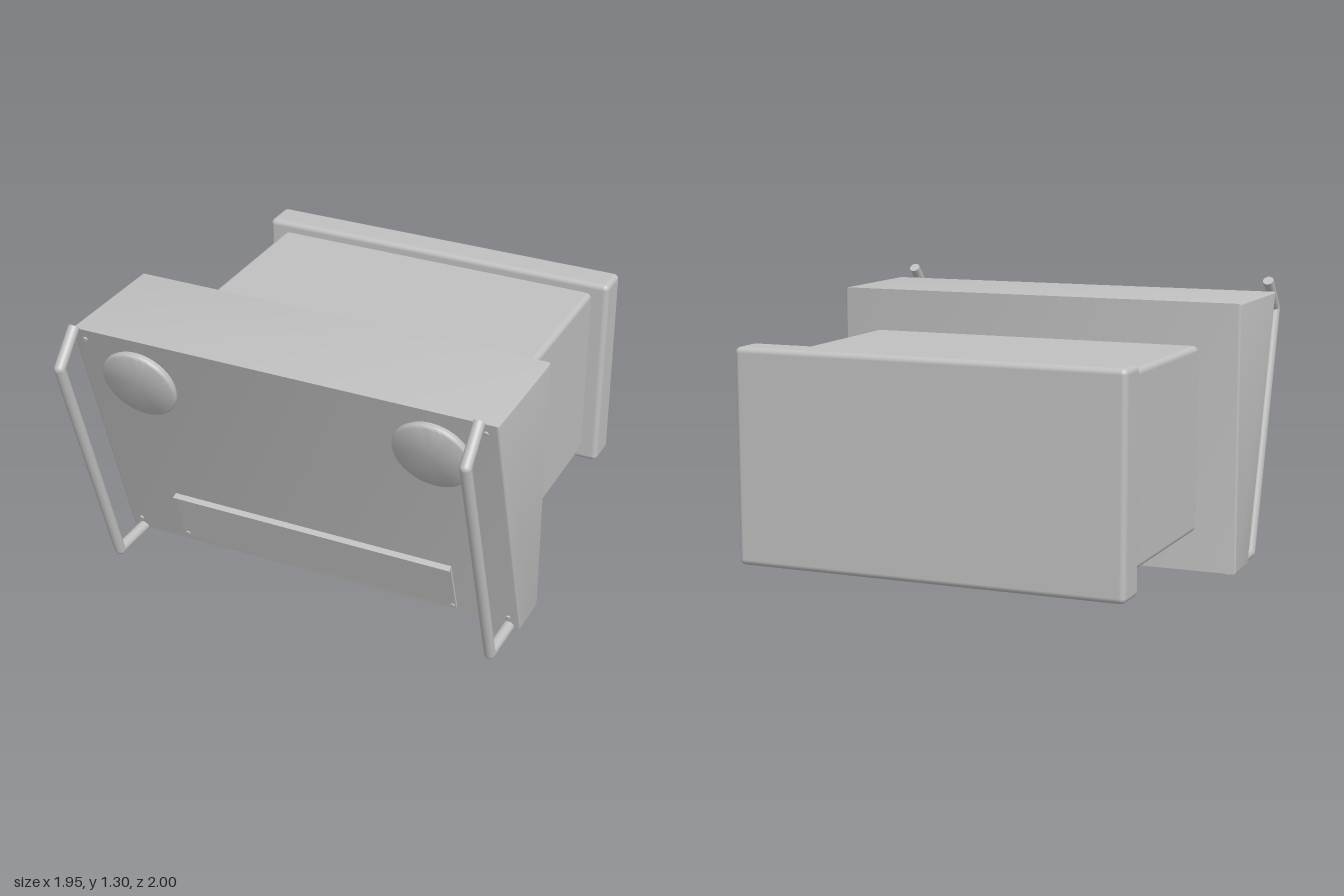
import * as THREE from 'three';
import { toCreasedNormals } from 'three/addons/utils/BufferGeometryUtils.js';
import { RoundedBoxGeometry } from 'three/addons/geometries/RoundedBoxGeometry.js';

export function createModel() {
  const model = new THREE.Group();
  const grey = new THREE.MeshStandardMaterial({ color: 0xc0c0c0 });
  grey.name = 'light grey';

  function add(name, geometry, x = 0, y = 0, z = 0, parent = model) {
    const mesh = new THREE.Mesh(geometry, grey);
    mesh.name = name;
    mesh.position.set(x, y, z);
    parent.add(mesh);
    return mesh;
  }

  // Rounded box given by its limits on each axis
  function block(name, [x0, x1], [y0, y1], [z0, z1], radius) {
    const geometry = new RoundedBoxGeometry(x1 - x0, y1 - y0, z1 - z0, 4, radius);
    return add(name, geometry, (x0 + x1) / 2, (y0 + y1) / 2, (z0 + z1) / 2);
  }

  // Extrusion with softened edges that stays inside the drawn outline
  function softExtrude(shape, length, bevel) {
    const geometry = new THREE.ExtrudeGeometry(shape, {
      depth: length - 2 * bevel, bevelEnabled: true, bevelThickness: bevel,
      bevelSize: bevel, bevelOffset: -bevel, bevelSegments: 3, curveSegments: 8,
    });
    geometry.translate(0, 0, bevel);
    return toCreasedNormals(geometry, 0.6);
  }

  // Main rear housing and its wider back cover
  block('housing', [-0.795, 0.795], [0.21, 1.05], [-0.86, 0.18], 0.025);
  block('backCover', [-0.875, 0.875], [0.16, 1.1], [-1, -0.835], 0.025);

  // Front case with a sloping face: side profile as (z, y)
  const profile = new THREE.Shape([
    [0.2, 0.02], [0.4, 0.02], [0.78, 1.24], [0.2, 1.24],
  ].map(([z, y]) => new THREE.Vector2(z, y)));
  const caseGeometry = softExtrude(profile, 1.95, 0.01);
  caseGeometry.rotateY(-Math.PI / 2);
  add('frontCase', caseGeometry, 0.975);

  // Frame lying on the sloping face: local y runs up the slope, z outward
  const face = new THREE.Group();
  face.name = 'slopingFace';
  face.position.set(0, 0.02, 0.4);
  face.rotation.x = Math.atan2(0.38, 1.22);
  model.add(face);
  const up = (y) => (y - 0.02) / Math.cos(face.rotation.x);

  // Low cover plate with a raised lip along its top
  add('coverPlate', new THREE.BoxGeometry(1.36, 0.27, 0.012), 0, up(0.188), 0.006, face);
  add('coverLip', new THREE.BoxGeometry(1.36, 0.012, 0.03), 0, up(0.316), 0.015, face);

  function screw(x, y, z) {
    const geometry = new THREE.CylinderGeometry(0.011, 0.011, 0.012, 16);
    geometry.rotateX(Math.PI / 2);
    add('screw', geometry, x, up(y), z, face);
  }

  // Round caps: a narrow neck under a wider disc with a rounded rim
  const capProfile = [
    [0, 0], [0.163, 0], [0.163, 0.012], [0.172, 0.012], [0.175, 0.016],
    [0.175, 0.03], [0.172, 0.036], [0.166, 0.04], [0, 0.04],
  ].map(([r, h]) => new THREE.Vector2(r, h));
  const capGeometry = toCreasedNormals(new THREE.LatheGeometry(capProfile, 64), 0.7);
  capGeometry.rotateX(Math.PI / 2);

  // Round bar between two points
  function bar(parent, a, b, radius) {
    const length = a.distanceTo(b);
    const mesh = add('handleBar', new THREE.CylinderGeometry(radius, radius, length, 24), 0, 0, 0, parent);
    mesh.position.copy(a).lerp(b, 0.5);
    mesh.quaternion.setFromUnitVectors(
      new THREE.Vector3(0, 1, 0), b.clone().sub(a).normalize());
  }

  const handlePath = [
    [0.26, 0.025], [0.622, 0.025], [0.97, 1.145], [0.842, 1.285],
  ].map(([z, y]) => new THREE.Vector3(0, y, z));

  for (const side of [-1, 1]) {
    add('roundCap', capGeometry, side * 0.68, up(1.02), 0, face);
    for (const y of [0.075, 0.3]) screw(side * 0.665, y, 0.012);
    for (const y of [0.08, 1.19]) screw(side * 0.92, y, 0.002);

    // Bent tubular handle
    const handle = new THREE.Group();
    handle.name = side > 0 ? 'leftHandle' : 'rightHandle';
    handle.position.x = side * 0.92;
    for (let i = 0; i < 3; i++) bar(handle, handlePath[i], handlePath[i + 1], 0.025);
    for (const i of [1, 2]) {
      const p = handlePath[i];
      add('handleBend', new THREE.SphereGeometry(0.025, 24, 16), 0, p.y, p.z, handle);
    }
    model.add(handle);
  }

  // Underside plate with a row of slots, drawn as (x, z)
  function rectangle(PathType, x0, x1, z0, z1) {
    return new PathType([[x0, z0], [x1, z0], [x1, z1], [x0, z1]]
      .map(([x, z]) => new THREE.Vector2(x, z)));
  }
  const base = rectangle(THREE.Shape, -0.69, 0.69, -0.68, 0.16);
  for (let i = -3; i <= 3; i++) {
    const x = -0.03 + i * 0.13;
    base.holes.push(rectangle(THREE.Path, x - 0.035, x + 0.035, -0.552, -0.538));
  }
  const baseGeometry = softExtrude(base, 0.035, 0.006);
  baseGeometry.rotateX(Math.PI / 2);
  add('basePlate', baseGeometry, 0, 0.212, 0);

  // Small feet under the plate
  const feet = [
    [0.59, 0.045, 0.1], [-0.61, 0.045, 0.1], [0.59, -0.555, 0.1],
    [-0.61, -0.555, 0.1], [0.51, -0.2, 0.08],
  ];
  for (const [x, z, length] of feet) {
    block('foot', [x - 0.025, x + 0.025], [0.148, 0.185], [z - length / 2, z + length / 2], 0.008);
  }

  return model;
}
